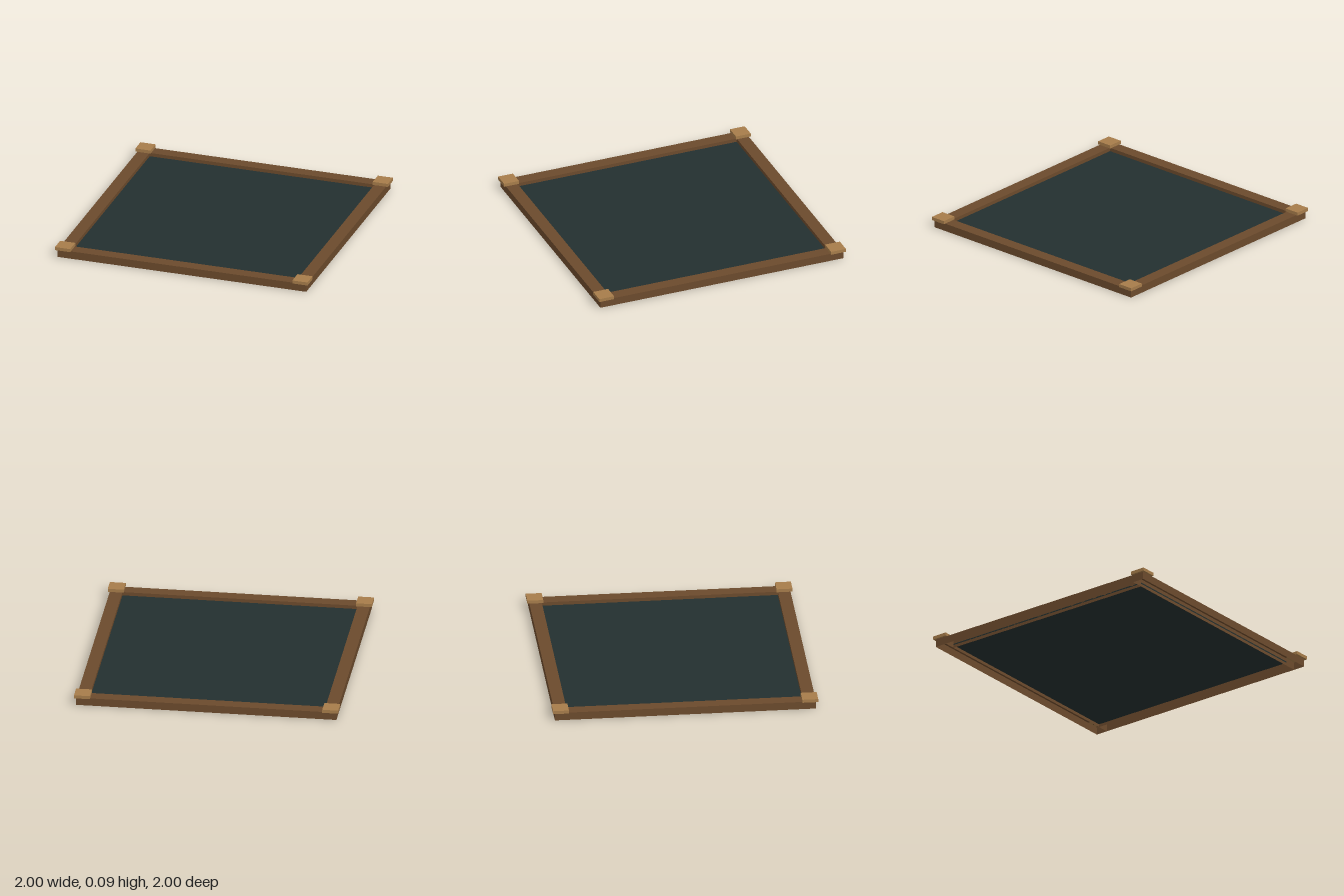
import * as THREE from 'three';

const frameWood = new THREE.MeshStandardMaterial({ color: 0x6b4a2c, side: THREE.DoubleSide });
frameWood.name = 'frame wood';
const capWood = new THREE.MeshStandardMaterial({ color: 0xa67c4a });
capWood.name = 'light cap wood';
const slate = new THREE.MeshStandardMaterial({ color: 0x232f2f });
slate.name = 'dark slate';

const OUTER = 0.985, INNER = 0.89, HEIGHT = 0.06;

// Rail hollowed out from below: a box without its underside
function railGeometry(length, width) {
  const g = new THREE.BoxGeometry(length, HEIGHT, width);
  const idx = Array.from(g.index.array);
  idx.splice(18, 6);
  g.setIndex(idx);
  g.clearGroups();
  return g;
}

export function createModel() {
  const model = new THREE.Group();
  model.name = 'framedPanel';

  function add(name, geometry, material, x, y, z) {
    const mesh = new THREE.Mesh(geometry, material);
    mesh.name = name;
    mesh.position.set(x, y, z);
    model.add(mesh);
    return mesh;
  }

  // Sunken panel
  add('panel', new THREE.BoxGeometry(INNER * 2, 0.01, INNER * 2), slate, 0, 0.028, 0);

  // Four rails: front and back run full length, side rails fit between
  const width = OUTER - INNER, mid = (OUTER + INNER) / 2;
  const longRail = railGeometry(OUTER * 2, width);
  const shortRail = railGeometry(INNER * 2, width);
  for (const s of [1, -1]) {
    add(s > 0 ? 'frontRail' : 'backRail', longRail, frameWood, 0, HEIGHT / 2, s * mid);
    add(s > 0 ? 'leftRail' : 'rightRail', shortRail, frameWood, s * mid, HEIGHT / 2, 0)
      .rotation.y = Math.PI / 2;
  }

  // Raised corner caps, slightly overhanging the rails
  const cap = new THREE.BoxGeometry(0.12, 0.025, 0.12);
  for (const sx of [1, -1]) {
    for (const sz of [1, -1]) {
      const name = (sz > 0 ? 'front' : 'back') + (sx > 0 ? 'Left' : 'Right') + 'Cap';
      add(name, cap, capWood, sx * 0.94, HEIGHT + 0.0125, sz * 0.94);
    }
  }
  return model;
}
